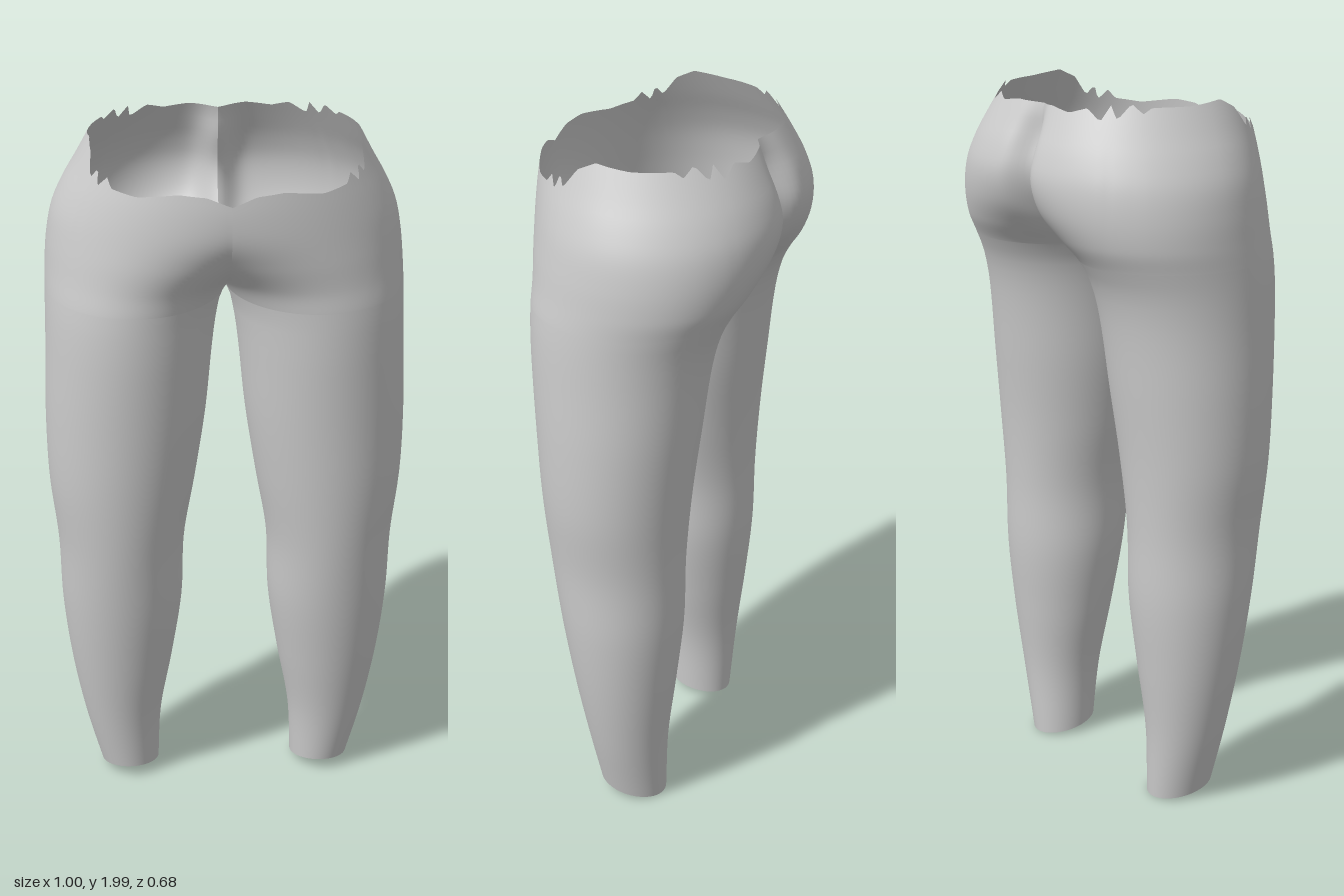
import * as THREE from 'three';
import { mergeVertices } from 'three/addons/utils/BufferGeometryUtils.js';

// Sections of one half: height, outer x, inner x on the front and back arcs, front z, back z.
// A negative inner x means the section is cut open at the centre seam.
const SECTIONS = [
  [0.00, 0.362, 0.200, 0.200, 0.105, -0.080],
  [0.20, 0.412, 0.190, 0.190, 0.137, -0.092],
  [0.40, 0.448, 0.155, 0.155, 0.175, -0.115],
  [0.60, 0.469, 0.126, 0.126, 0.210, -0.135],
  [0.80, 0.475, 0.118, 0.118, 0.238, -0.140],
  [1.00, 0.495, 0.085, 0.085, 0.260, -0.153],
  [1.20, 0.499, 0.055, 0.055, 0.276, -0.175],
  [1.40, 0.493, 0.035, 0.035, 0.290, -0.200],
  [1.50, 0.491, 0.020, 0.020, 0.294, -0.225],
  [1.56, 0.490, 0.000, 0.000, 0.295, -0.255],
  [1.62, 0.488, -0.060, -0.060, 0.298, -0.293],
  [1.70, 0.481, -0.210, -0.170, 0.317, -0.328],
  [1.78, 0.465, -0.380, -0.240, 0.337, -0.340],
  [1.85, 0.435, -0.420, -0.230, 0.342, -0.323],
  [1.91, 0.402, -0.400, -0.200, 0.338, -0.295],
  [2.00, 0.355, -0.350, -0.190, 0.325, -0.250],
];
const CROTCH = 1.56;

// Waist height around the half, from the back seam (-1) to the front seam (1), with torn nicks.
const RIM = [
  [-1, 1.965], [-0.85, 1.97], [-0.72, 1.96], [-0.62, 1.975], [-0.54, 1.945], [-0.5, 1.985],
  [-0.46, 1.95], [-0.4, 1.99], [-0.34, 1.965], [-0.3, 1.98], [-0.1, 1.98], [0.08, 1.99],
  [0.2, 1.965], [0.3, 1.91], [0.33, 1.94], [0.37, 1.895], [0.41, 1.925], [0.46, 1.9],
  [0.6, 1.892], [0.78, 1.91], [0.9, 1.905], [1, 1.88],
];

// Smooth interpolation of column k of a table whose first column is the key.
function sample(table, key, k) {
  const n = table.length;
  let i = 0;
  while (i < n - 2 && key > table[i + 1][0]) i++;
  const slope = (j) => {
    const a = table[Math.max(j - 1, 0)], b = table[Math.min(j + 1, n - 1)];
    return (b[k] - a[k]) / (b[0] - a[0]);
  };
  const p = table[i], q = table[i + 1], h = q[0] - p[0];
  const t = THREE.MathUtils.clamp((key - p[0]) / h, 0, 1);
  const t2 = t * t, t3 = t2 * t;
  return (2 * t3 - 3 * t2 + 1) * p[k] + (t3 - 2 * t2 + t) * h * slope(i)
    + (3 * t2 - 2 * t3) * q[k] + (t3 - t2) * h * slope(i + 1);
}

function linear(table, key) {
  let i = 0;
  while (i < table.length - 2 && key > table[i + 1][0]) i++;
  const [a, va] = table[i], [b, vb] = table[i + 1];
  return va + (vb - va) * (key - a) / (b - a);
}

// Point on the cloth of the +x half; u runs from back, around the outside, to front.
function clothPoint(u, y) {
  const front = u >= 0;
  const outer = sample(SECTIONS, y, 1);
  const inner = sample(SECTIONS, y, front ? 2 : 3);
  const zf = sample(SECTIONS, y, 4), zb = sample(SECTIONS, y, 5);
  const rx = (outer - inner) / 2, cx = (outer + inner) / 2;
  const end = inner >= 0 ? Math.PI : Math.acos(THREE.MathUtils.clamp(-cx / rx, -1, 1));
  const angle = u * end;
  const x = Math.max(cx + rx * Math.cos(angle), 0);
  const sin = Math.sin(angle);
  let z = (zf + zb) / 2 + (zf - zb) / 2 * sin;
  // cleft at the back of the seat
  if (!front) {
    const depth = THREE.MathUtils.smoothstep(y, CROTCH, 1.7)
      * (1 - 0.7 * THREE.MathUtils.smoothstep(y, 1.85, 1.97));
    z += 0.05 * depth * Math.exp(-((x / 0.045) ** 2));
  }
  return [x, y, z];
}

function halfGeometry(side) {
  const cols = 112, legRows = 48, hipRows = 32;
  const rows = legRows + hipRows;
  const positions = [], index = [];
  for (let r = 0; r <= rows; r++) {
    for (let c = 0; c <= cols; c++) {
      const u = -1 + 2 * c / cols;
      const hem = 0.02 + 0.02 * Math.sin(u * Math.PI);
      // rows crowd together just above the crotch, where the seam opens
      const y = r <= legRows
        ? hem + (CROTCH - hem) * r / legRows
        : CROTCH + (linear(RIM, u) - CROTCH) * ((r - legRows) / hipRows) ** 1.7;
      const [x, py, z] = clothPoint(u, y);
      positions.push(side * x, py, z);
    }
  }
  const w = cols + 1;
  for (let r = 0; r < rows; r++) {
    for (let c = 0; c < cols; c++) {
      const a = r * w + c, b = a + 1, d = a + w, e = d + 1;
      if (side > 0) index.push(a, d, b, b, d, e);
      else index.push(a, b, d, b, e, d);
    }
  }
  let geometry = new THREE.BufferGeometry();
  geometry.setAttribute('position', new THREE.Float32BufferAttribute(positions, 3));
  geometry.setIndex(index);
  // weld the inner leg seam so it shades smoothly
  geometry = mergeVertices(geometry, 1e-5);
  geometry.computeVertexNormals();
  return geometry;
}

export function createModel() {
  const model = new THREE.Group();
  model.name = 'trousers';
  const cloth = new THREE.MeshStandardMaterial({ color: 0xcccccc, side: THREE.DoubleSide });
  for (const [name, side] of [['leftTrouserHalf', 1], ['rightTrouserHalf', -1]]) {
    const half = new THREE.Mesh(halfGeometry(side), cloth);
    half.name = name;
    model.add(half);
  }
  return model;
}
